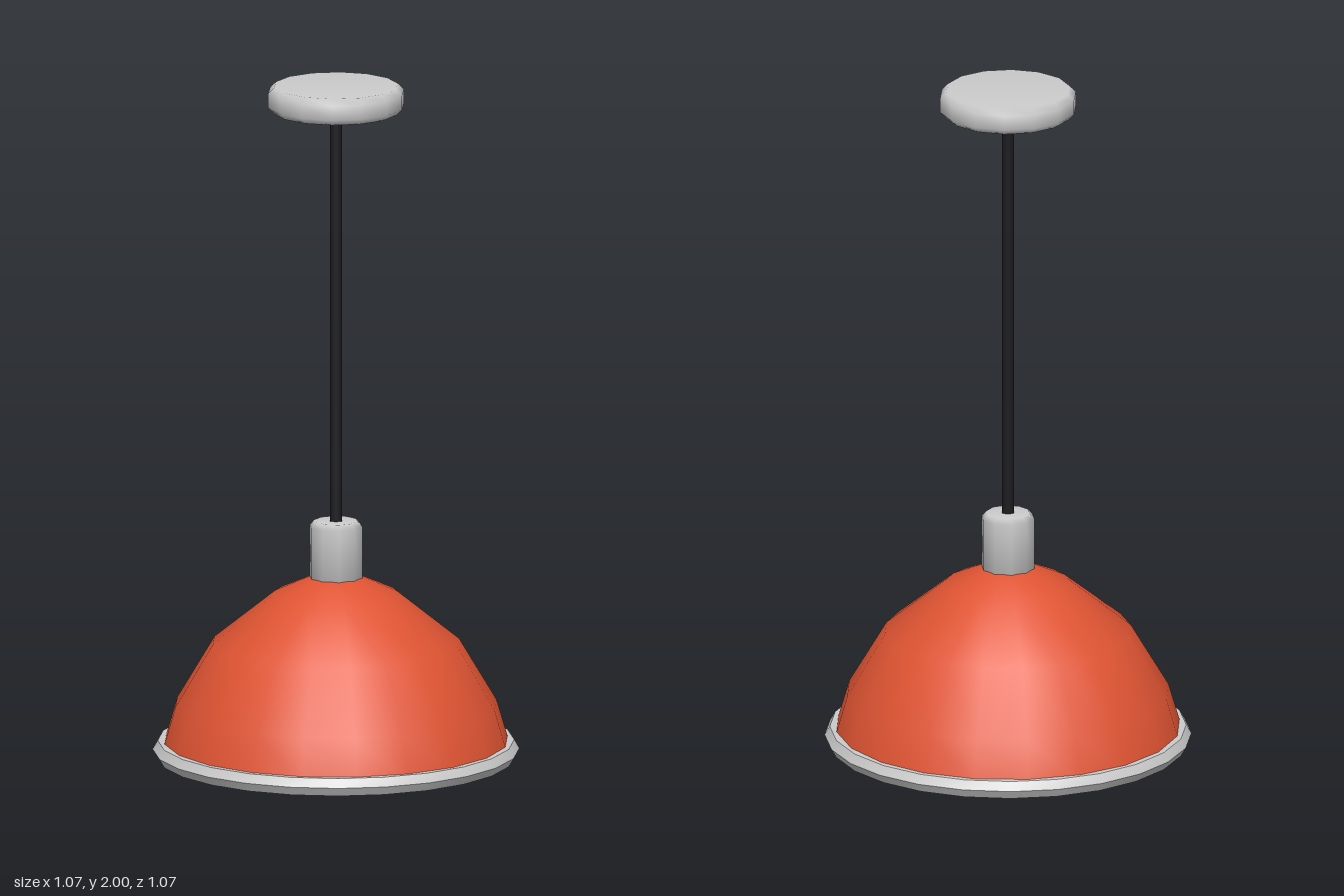
import * as THREE from 'three';
import { toCreasedNormals } from 'three/addons/utils/BufferGeometryUtils.js';

const grey = new THREE.MeshStandardMaterial({ color: 0xcccccc });
const paint = (color) => new THREE.MeshStandardMaterial({ color });

// Revolves [radius, height] pairs; rising profiles face outward, falling ones inward.
function lathe(name, profile, sides, material) {
  const points = profile.map(([r, y]) => new THREE.Vector2(r, y));
  const mesh = new THREE.Mesh(new THREE.LatheGeometry(points, sides), material);
  mesh.name = name;
  return mesh;
}

export function createModel() {
  const lamp = new THREE.Group();
  lamp.name = 'pendantLamp';

  // Ceiling canopy with softened edges
  lamp.add(lathe('canopy', [
    [0, 1.922], [0.182, 1.922], [0.2, 1.94], [0.2, 1.982], [0.182, 2], [0, 2],
  ], 14, grey));

  // Thin hexagonal hanging rod
  const rod = new THREE.Mesh(new THREE.CylinderGeometry(0.02, 0.02, 1.26, 6), paint(0x1b1b1f));
  rod.name = 'rod';
  rod.position.y = 1.31;
  rod.rotation.y = Math.PI / 6;
  lamp.add(rod);

  // Cap joining rod and shade
  lamp.add(lathe('socketCap', [
    [0, 0.5], [0.078, 0.5], [0.078, 0.69], [0.064, 0.705], [0, 0.705],
  ], 10, grey));

  // Domed shade: painted outside, pale lining inside
  const dome = [[0.508, 0.03], [0.47, 0.16], [0.36, 0.345], [0.18, 0.49], [0.07, 0.54], [0, 0.545]];
  lamp.add(lathe('shade', dome, 20, paint(0xe05433)));
  const lining = dome.map(([r, y]) => [r * 0.975, 0.03 + (y - 0.03) * 0.965]).reverse();
  lamp.add(lathe('shadeLining', lining, 20, paint(0xece8dc)));

  // Faceted rim around the opening
  const rimShape = new THREE.TorusGeometry(0.503, 0.03, 6, 24).rotateX(Math.PI / 2);
  const rim = new THREE.Mesh(toCreasedNormals(rimShape, Math.PI / 5), grey);
  rim.name = 'rim';
  rim.position.y = 0.026;
  lamp.add(rim);

  // Bulb with a neck rising into the socket
  const bulb = [];
  for (let i = 0; i <= 8; i++) {
    const a = (i / 8) * Math.PI * 0.78;
    bulb.push([0.113 * Math.sin(a), 0.25 - 0.113 * Math.cos(a)]);
  }
  bulb.push([0.05, 0.4], [0.05, 0.52]);
  lamp.add(lathe('bulb', bulb, 14, paint(0xe0c48c)));

  return lamp;
}
